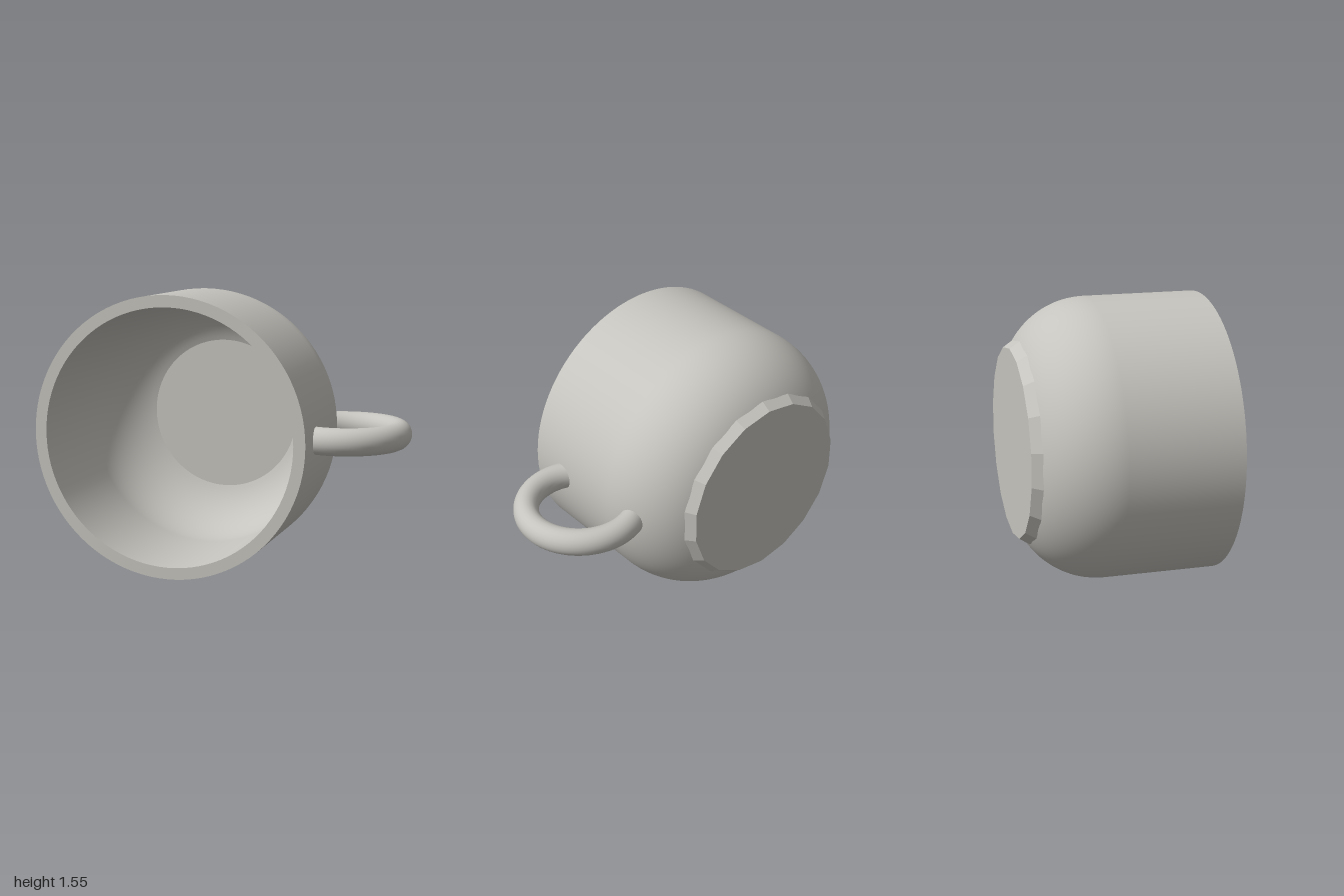
import * as THREE from 'three';

export function createModel() {
  const model = new THREE.Group();
  const ceramic = new THREE.MeshStandardMaterial({ color: 0xc6c4be });
  ceramic.name = 'warm grey ceramic';
  const footMaterial = ceramic.clone();
  footMaterial.flatShading = true;

  const FRONT = 0.53, BEND = -0.09, CORE = 0.323; // rim z, start of the rounded base, fillet centre radius
  const cup = new THREE.Group();
  cup.name = 'cup';
  cup.position.set(-0.227, 0.775, 0);
  model.add(cup);

  const add = (parent, name, geometry, material = ceramic) => {
    const mesh = new THREE.Mesh(geometry, material);
    mesh.name = name;
    parent.add(mesh);
    return mesh;
  };
  // Lathe about the z axis from [radius, z] pairs
  const turned = (pairs) => new THREE.LatheGeometry(
    pairs.map(([r, z]) => new THREE.Vector2(r, z)), 96).rotateX(Math.PI / 2);
  // Straight wall with a rounded lower part, from base to rim
  const wall = (radius, endAngle) => {
    const pairs = [];
    for (let i = 20; i >= 0; i--) {
      const a = endAngle * i / 20;
      pairs.push([CORE + radius * Math.cos(a), BEND - radius * Math.sin(a)]);
    }
    pairs.push([CORE + radius, FRONT]);
    return pairs;
  };

  // Cup shell
  add(cup, 'outerWall', turned(wall(0.45, 1.147)));
  const inner = wall(0.385, 1.248);
  add(cup, 'innerWall', turned(inner.slice().reverse()));
  add(cup, 'rim', new THREE.RingGeometry(0.708, 0.773, 96)).position.z = FRONT;
  add(cup, 'floor', new THREE.CircleGeometry(inner[0][0], 96)).position.z = inner[0][1];

  // Faceted foot, narrowing to the flat underside
  const foot = new THREE.CylinderGeometry(0.558, 0.522, 0.055, 18).rotateX(Math.PI / 2);
  add(cup, 'foot', foot, footMaterial).position.z = -0.5045;

  // Ring handle, ends buried in the wall
  const deg = Math.PI / 180;
  const ring = new THREE.TorusGeometry(0.301, 0.069, 24, 64, 234 * deg)
    .rotateZ(-120 * deg).rotateX(Math.PI / 2).scale(1, 1.09, 1);
  add(model, 'handle', ring).position.set(0.63, 0.775, 0.02);

  return model;
}
